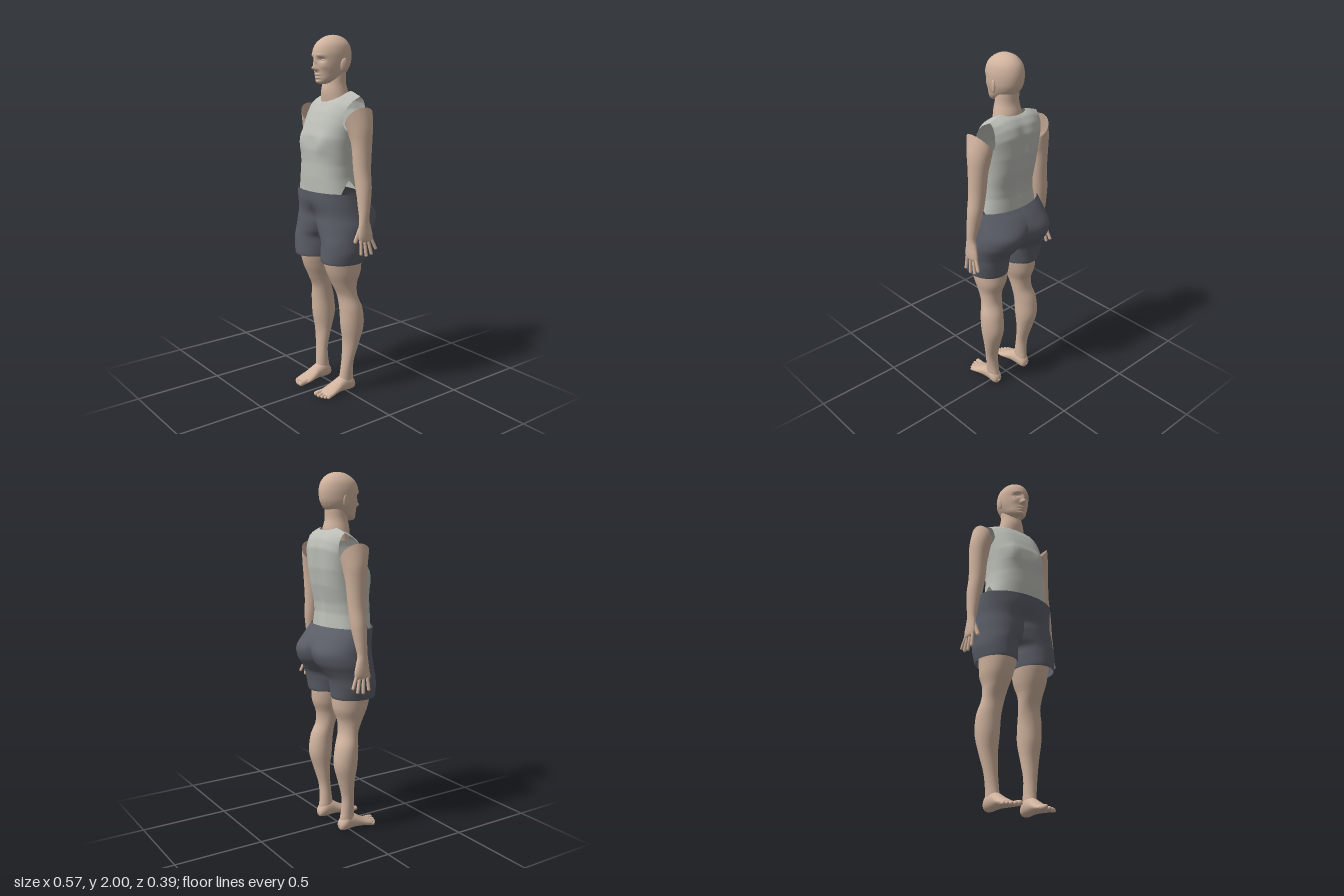
import * as THREE from 'three';
import { mergeVertices } from 'three/addons/utils/BufferGeometryUtils.js';

const mat = (name, color) => {
  const m = new THREE.MeshStandardMaterial({ color, side: THREE.DoubleSide });
  m.name = name;
  return m;
};

// Smooth surface through a grid of points p(i, j)
function surface(rows, cols, p) {
  const pos = [], idx = [];
  for (let i = 0; i <= rows; i++)
    for (let j = 0; j <= cols; j++) pos.push(...p(i / rows, j / cols));
  for (let i = 0; i < rows; i++)
    for (let j = 0; j < cols; j++) {
      const a = i * (cols + 1) + j, b = a + cols + 1;
      idx.push(a, b, b + 1, a, b + 1, a + 1);
    }
  let g = new THREE.BufferGeometry();
  g.setAttribute('position', new THREE.Float32BufferAttribute(pos, 3));
  g.setIndex(idx);
  g = mergeVertices(g, 1e-5);
  g.computeVertexNormals();
  return g;
}

// Smooth interpolation through rows of numbers
function sample(table, t) {
  const f = t * (table.length - 1), i = Math.min(Math.floor(f), table.length - 2), s = f - i;
  const at = k => table[Math.max(0, Math.min(table.length - 1, k))];
  return table[i].map((b, k) => {
    const a = at(i - 1)[k], c = at(i + 1)[k], d = at(i + 2)[k];
    return b + 0.5 * s * (c - a + s * (2 * a - 5 * b + 4 * c - d + s * (3 * (b - c) + d - a)));
  });
}

// Linear lookup of y in [x, y] pairs
function lookup(pairs, x) {
  for (let i = 1; i < pairs.length; i++) {
    const [x0, y0] = pairs[i - 1], [x1, y1] = pairs[i];
    if (x <= x1) return y0 + (y1 - y0) * Math.max(0, (x - x0) / (x1 - x0));
  }
  return pairs[pairs.length - 1][1];
}

// Upright loft: rows of [y, centreX, radiusX, zFront, zBack]; halves stop at x = 0
function loft(table, rows, cols, half = false, sculpt = null) {
  return surface(rows, cols, (t, u) => {
    const [y, cx, rx, zf, zb] = sample(table, t);
    const end = half && cx < rx ? Math.acos(-cx / rx) : Math.PI;
    const a = (u * 2 - 1) * end;
    const p = [cx + rx * Math.cos(a), y, (zf + zb) / 2 + (zf - zb) / 2 * Math.sin(a)];
    return sculpt ? sculpt(p) : p;
  });
}

// Facial relief: [x, y, widthX, widthY, depth], mirrored
const relief = [
  [0, 1.828, 0.012, 0.013, 0.026], [0, 1.855, 0.009, 0.022, 0.012], [0.013, 1.822, 0.006, 0.006, 0.007],
  [0.036, 1.871, 0.018, 0.012, -0.014], [0.034, 1.894, 0.022, 0.007, 0.004],
  [0, 1.794, 0.02, 0.005, 0.007], [0, 1.778, 0.018, 0.005, 0.008], [0, 1.786, 0.026, 0.003, -0.003],
  [0, 1.757, 0.022, 0.008, 0.006], [0.045, 1.835, 0.018, 0.016, 0.004],
];
function faceRelief([x, y, z]) {
  if (z > 0.03) {
    let dz = 0;
    for (const [bx, by, sx, sy, d] of relief)
      dz += d * Math.exp(-(((Math.abs(x) - bx) / sx) ** 2) - ((y - by) / sy) ** 2);
    z += dz * Math.min(1, (z - 0.03) / 0.04);
  }
  return [x, y, z];
}

// Sleeveless top: front or back panel, open at neck, armholes and hem
const chestZ = [[0, 0.155], [0.15, 0.158], [0.3, 0.157], [0.43, 0.161], [0.57, 0.153], [0.7, 0.125],
  [0.8, 0.098], [0.89, 0.064], [0.95, 0.014], [1, -0.058]];
const backZ = [[0, -0.105], [0.15, -0.101], [0.25, -0.107], [0.43, -0.131], [0.6, -0.143], [0.8, -0.143],
  [0.89, -0.127], [0.96, -0.098], [1, -0.058]];
const sideX = [[1.17, 0.19], [1.25, 0.173], [1.32, 0.167], [1.4, 0.169], [1.48, 0.175], [1.6, 0.188], [1.7, 0.195]];
const shoulderY = x => lookup([[0, 1.71], [0.07, 1.708], [0.1, 1.703], [0.16, 1.682]], Math.abs(x));
function topPanel(front) {
  const dir = front ? -1 : 1;
  return surface(56, 56, (v, uu) => {
    const s = Math.sin((uu * 2 - 1) * Math.PI / 2) * dir, topX = 0.16 * s, n = Math.abs(topX) / 0.077;
    const low = front ? 1.65 : 1.694;
    const collar = n < 1 ? low + (1.7065 - low) * (1 - Math.sqrt(1 - n * n)) : shoulderY(topX);
    const hem = 1.165 + 0.075 * Math.max(0, (Math.abs(uu * 2 - 1) - 0.78) / 0.22);
    const y = hem + (collar - hem) * v;
    const rx = lookup(sideX, y), k = THREE.MathUtils.smoothstep(y, 1.48, 1.56);
    const x = s * (rx + (0.161 - rx) * k);
    const h = Math.min(1, (y - 1.17) / (shoulderY(x) - 1.17));
    const zf = lookup(chestZ, h), zb = lookup(backZ, h), mid = (zf + zb) / 2;
    const bulge = Math.pow(Math.max(0, 1 - Math.pow(Math.abs(x / rx), 2.5)), 0.4);
    let z = mid + ((front ? zf : zb) - mid) * bulge;
    // Bust and spine relief
    if (front) z += 0.012 * Math.exp(-(((Math.abs(x) - 0.095) / 0.04) ** 2) - ((y - 1.44) / 0.05) ** 2);
    else z += 0.016 * Math.exp(-((x / 0.035) ** 2)) * Math.sin(Math.PI * Math.max(0, Math.min(1, h)));
    return [x, y, z];
  });
}

const shortsHalf = [
  [0.785, 0.121, 0.111, 0.15, -0.1], [0.8, 0.122, 0.114, 0.153, -0.105], [0.85, 0.125, 0.121, 0.152, -0.112],
  [0.9, 0.123, 0.123, 0.15, -0.125], [0.94, 0.106, 0.142, 0.147, -0.15], [0.99, 0.09, 0.16, 0.145, -0.184],
  [1.05, 0.075, 0.168, 0.143, -0.195], [1.12, 0.025, 0.21, 0.162, -0.158], [1.175, 0, 0.228, 0.168, -0.112],
];
const leg = [
  [0.03, 0.115, 0.032, 0.02, -0.05], [0.07, 0.115, 0.034, 0.035, -0.052], [0.12, 0.118, 0.035, 0.03, -0.045],
  [0.2, 0.125, 0.04, 0.022, -0.045], [0.3, 0.132, 0.053, 0.02, -0.072], [0.4, 0.135, 0.065, 0.035, -0.1],
  [0.5, 0.133, 0.067, 0.04, -0.09], [0.58, 0.12, 0.063, 0.048, -0.063], [0.65, 0.115, 0.068, 0.08, -0.065],
  [0.72, 0.112, 0.086, 0.112, -0.09], [0.8, 0.108, 0.097, 0.133, -0.096], [0.86, 0.115, 0.1, 0.13, -0.096],
];
const head = [
  [1.743, 0, 0.004, 0.085, 0.06], [1.75, 0, 0.032, 0.1, 0.03], [1.77, 0, 0.054, 0.106, -0.015],
  [1.8, 0, 0.069, 0.11, -0.07], [1.835, 0, 0.081, 0.114, -0.096], [1.87, 0, 0.086, 0.119, -0.106],
  [1.91, 0, 0.086, 0.121, -0.107], [1.95, 0, 0.076, 0.104, -0.095], [1.98, 0, 0.052, 0.07, -0.068],
  [1.995, 0, 0.026, 0.037, -0.036], [2, 0, 0.001, 0.002, -0.002],
];
const neck = [
  [1.64, 0, 0.088, 0.055, -0.085], [1.7, 0, 0.075, 0.062, -0.083], [1.75, 0, 0.064, 0.054, -0.071],
  [1.8, 0, 0.062, 0.045, -0.072], [1.84, 0, 0.06, 0.04, -0.075],
];
// Arm and palm: [centreX, y, centreZ, radiusX, radiusZ, slope of the open end]
const arm = [
  [0.268, 0.912, -0.018, 0.003, 0.02, 0], [0.268, 0.925, -0.018, 0.015, 0.044, 0], [0.267, 0.955, -0.016, 0.019, 0.046, 0],
  [0.264, 1, -0.012, 0.021, 0.038, 0], [0.262, 1.04, -0.01, 0.023, 0.03, 0], [0.254, 1.1, -0.015, 0.032, 0.034, 0],
  [0.24, 1.2, -0.022, 0.044, 0.043, 0], [0.225, 1.3, -0.023, 0.047, 0.048, 0], [0.219, 1.42, -0.025, 0.051, 0.056, 0.01],
  [0.213, 1.49, -0.024, 0.054, 0.067, 0.035], [0.199, 1.57, -0.02, 0.046, 0.086, 0.06],
];
// Foot along z: [z, centreX, radiusX, bottom, top]
const foot = [
  [-0.063, 0.115, 0.004, 0.025, 0.035], [-0.055, 0.115, 0.026, 0.006, 0.06], [-0.03, 0.115, 0.037, 0, 0.09],
  [0, 0.113, 0.038, 0.002, 0.1], [0.04, 0.113, 0.04, 0.004, 0.085], [0.08, 0.112, 0.046, 0.003, 0.06],
  [0.12, 0.112, 0.05, 0, 0.04], [0.145, 0.111, 0.045, 0.003, 0.03], [0.156, 0.108, 0.03, 0.008, 0.022],
];

export function createModel() {
  const skin = mat('skin', 0xd0b39e), cloth = mat('light grey cloth', 0xbbbdb6);
  const dark = mat('dark grey cloth', 0x5a5d66), eyeMat = mat('eye white', 0xcfc3b8);
  const model = new THREE.Group();
  model.name = 'standingFigure';
  const add = (parent, name, geo, m) => {
    const mesh = new THREE.Mesh(geo, m);
    mesh.name = name;
    parent.add(mesh);
    return mesh;
  };
  const ball = (parent, name, m, p, s) => {
    const b = add(parent, name, new THREE.SphereGeometry(1, 16, 12), m);
    b.position.set(...p);
    b.scale.set(...s);
    return b;
  };
  const digit = (parent, name, from, to, r) => {
    const a = new THREE.Vector3(...from), d = new THREE.Vector3(...to).sub(a);
    const c = add(parent, name, new THREE.CapsuleGeometry(r, d.length(), 5, 10), skin);
    c.position.copy(a).addScaledVector(d, 0.5);
    c.quaternion.setFromUnitVectors(new THREE.Vector3(0, 1, 0), d.normalize());
  };

  add(model, 'head', loft(head, 90, 96, false, faceRelief), skin);
  add(model, 'neck', loft(neck, 16, 40), skin);
  add(model, 'topFront', topPanel(true), cloth);
  add(model, 'topBack', topPanel(false), cloth);

  for (const side of [1, -1]) {
    const half = new THREE.Group();
    half.name = side > 0 ? 'leftSide' : 'rightSide';
    half.scale.x = side;
    model.add(half);

    ball(half, 'eye', eyeMat, [0.036, 1.871, 0.086], [0.015, 0.008, 0.012]);
    const ear = ball(half, 'ear', skin, [0.089, 1.845, -0.004], [0.008, 0.035, 0.019]);
    ear.rotation.set(-0.15, -0.35, -0.12);

    add(half, 'shortsHalf', loft(shortsHalf, 56, 56, true), dark);
    add(half, 'leg', loft(leg, 60, 40), skin);
    add(half, 'arm', surface(60, 36, (t, u) => {
      const [cx, y, cz, rx, rz, slope] = sample(arm, t), a = u * Math.PI * 2;
      return [cx + rx * Math.cos(a), y + slope * Math.cos(a), cz + rz * Math.sin(a)];
    }), skin);
    add(half, 'foot', surface(40, 32, (t, u) => {
      const [z, cx, rx, lo, hi] = sample(foot, t), a = u * Math.PI * 2;
      return [cx + rx * Math.cos(a), (lo + hi) / 2 - (hi - lo) / 2 * Math.sin(a), z];
    }), skin);

    // Toes, from big to little
    [[0.077, 0.177, 0.0145], [0.101, 0.179, 0.0105], [0.122, 0.172, 0.0095], [0.14, 0.162, 0.009], [0.154, 0.149, 0.0085]]
      .forEach(([x, z, r]) => digit(half, 'toe', [x * 0.9 + 0.011, 0.018, z - 0.045], [x, r + 0.001, z], r));
    // Fingers and thumb
    [[0.017, 0.022, 0.855], [-0.006, -0.014, 0.842], [-0.029, -0.049, 0.848], [-0.05, -0.079, 0.872]]
      .forEach(([z0, z1, y]) => digit(half, 'finger', [0.268, 0.94, z0], [0.277, y, z1], 0.009));
    digit(half, 'thumb', [0.258, 0.99, 0.015], [0.25, 0.92, 0.04], 0.011);
  }
  return model;
}
